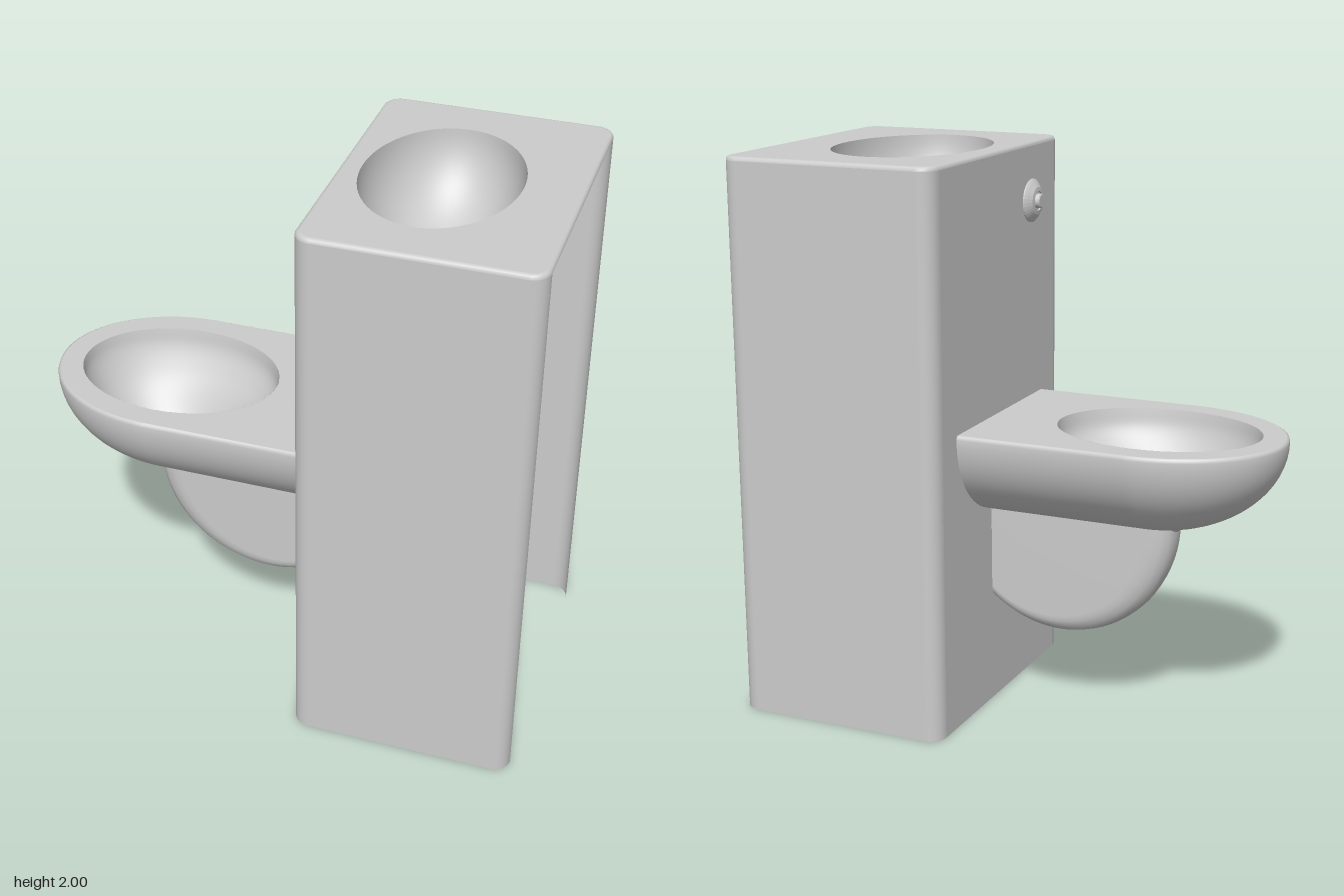
import * as THREE from 'three';
import { mergeVertices } from 'three/addons/utils/BufferGeometryUtils.js';

const material = new THREE.MeshStandardMaterial({ color: 0xcccccc, side: THREE.DoubleSide });
const range = (n, f) => Array.from({ length: n + 1 }, (_, i) => f(i / n));
const PI = Math.PI;

// Smooth skin through rows of [x, y, z] points
function loft(rows) {
  const n = rows[0].length;
  const index = [];
  for (let r = 0; r < rows.length - 1; r++) {
    for (let i = 0; i < n - 1; i++) {
      const a = r * n + i, b = a + n;
      index.push(a, b, a + 1, a + 1, b, b + 1);
    }
  }
  let geo = new THREE.BufferGeometry();
  geo.setAttribute('position', new THREE.Float32BufferAttribute(rows.flat(2), 3));
  geo.setIndex(index);
  geo = mergeVertices(geo, 1e-5);
  geo.computeVertexNormals();
  return geo;
}

const shapeOf = (pts) => new THREE.Shape(pts.map(([x, y]) => new THREE.Vector2(x, y)));
const ellipseHole = (x, rx, ry) => new THREE.Path().absellipse(x, 0, rx, ry, 0, PI * 2);

// Quarter-round corner in plan
const corner = (cx, cz, r, start) => range(8, (t) => {
  const a = start + t * PI / 2;
  return [cx + r * Math.cos(a), cz + r * Math.sin(a)];
});

export function createModel() {
  const root = new THREE.Group();
  const add = (name, geo, parent = root) => {
    const mesh = new THREE.Mesh(geo, material);
    mesh.name = name;
    parent.add(mesh);
    return mesh;
  };
  const group = (name) => {
    const g = new THREE.Group();
    g.name = name;
    root.add(g);
    return g;
  };

  // ---- Cabinet: thin sheet, open at the +x side and the bottom ----
  const x0 = 0.13, x1 = 0.925, halfZ = 0.53, rad = 0.06;
  const xa = x0 + rad, xb = x1 - rad, zc = halfZ - rad;
  const fillet = 0.015, wallTop = 2 - fillet;
  const cabinet = group('cabinet');

  const sidePlan = [...corner(xb, zc, rad, 0), ...corner(xa, zc, rad, PI / 2)];
  for (const s of [1, -1]) {
    add(s > 0 ? 'leftSidePanel' : 'rightSidePanel',
      loft([0, wallTop].map((y) => sidePlan.map(([x, z]) => [x, y, z * s]))), cabinet);
  }

  // Bowl-side wall with an opening behind the bowl and trap
  const wall = shapeOf([[-zc, 0], [zc, 0], [zc, wallTop], [-zc, wallTop]]);
  const halfHole = [
    ...range(14, (t) => [0.36 * Math.cos(t * 1.32), 1.055 - 0.325 * Math.sin(t * 1.32)]),
    [0.08, 0.46], [0.065, 0.41], [0.03, 0.39],
  ];
  const holePts = [...halfHole, ...halfHole.slice().reverse().map(([z, y]) => [-z, y])];
  wall.holes.push(shapeOf(holePts));
  add('bowlSideWall', new THREE.ShapeGeometry(wall).rotateY(-PI / 2).translate(x0, 0, 0), cabinet);

  // Rounded top edge and counter
  const plan = (inset) => {
    const r = rad - inset;
    const pts = [[xb, zc, 0], [xa, zc, 1], [xa, -zc, 2], [xb, -zc, 3]]
      .flatMap(([x, z, q]) => corner(x, z, r, q * PI / 2));
    return [...pts, pts[0]];
  };
  add('topEdge', loft(range(4, (t) => {
    const a = t * PI / 2;
    return plan(fillet * (1 - Math.cos(a))).map(([x, z]) => [x, wallTop + fillet * Math.sin(a), z]);
  })), cabinet);
  const basinX = 0.465;
  const counter = shapeOf(plan(fillet).slice(0, -1));
  counter.holes.push(ellipseHole(basinX, 0.265, 0.355));
  add('counter', new THREE.ShapeGeometry(counter, 32).rotateX(-PI / 2).translate(0, 2, 0), cabinet);

  // ---- Wash basin with drain ----
  const basin = group('washBasin');
  add('basinBowl', loft(range(18, (t) => range(64, (u) => {
    const a = t * PI / 2, b = u * PI * 2;
    return [basinX + 0.265 * Math.cos(a) * Math.cos(b), 2 - 0.315 * Math.sin(a),
      0.355 * Math.cos(a) * Math.sin(b)];
  }))), basin);
  add('drain', new THREE.CylinderGeometry(0.05, 0.05, 0.018, 32).translate(basinX, 1.683, 0), basin);
  add('drainRing', new THREE.TorusGeometry(0.042, 0.006, 8, 32).rotateX(PI / 2)
    .translate(basinX, 1.692, 0), basin);

  // ---- Push button on the bowl-side wall ----
  const buttonProfile = [[0, -0.004], [0.078, -0.004], [0.078, 0.005], [0.07, 0.012], [0.05, 0.026],
    [0.035, 0.028], [0.035, 0.022], [0.026, 0.022], [0.026, 0.038], [0.022, 0.041], [0, 0.041]];
  // doubled points keep the steps crisp
  const button = add('pushButton', new THREE.LatheGeometry(
    buttonProfile.flatMap(([r, y]) => [new THREE.Vector2(r, y), new THREE.Vector2(r, y)]), 32));
  button.geometry = button.geometry.toNonIndexed();
  button.geometry.computeVertexNormals();
  button.rotation.z = PI / 2;
  button.position.set(x0, 1.79, 0.27);

  // ---- Toilet ----
  const toilet = group('toilet');
  const bowlX = -0.47, rimY = 1.07;

  // Outer shell: round nose running straight back to the cabinet
  const shellPlan = (f) => [
    [x0, -0.365 * f],
    ...range(40, (t) => {
      const a = (t - 0.5) * PI;
      return [bowlX - 0.455 * f * Math.cos(a), 0.365 * f * Math.sin(a)];
    }),
    [x0, 0.365 * f],
  ];
  const shellLevels = [[0.975, rimY], [0.992, 1.066], ...range(18, (t) =>
    [Math.cos(t * PI / 2), 1.055 - 0.33 * Math.sin(t * PI / 2)])];
  add('bowlShell', loft(shellLevels.map(([f, y]) => shellPlan(f).map(([x, z]) => [x, y, z]))), toilet);

  const rim = shapeOf(shellPlan(0.975));
  rim.holes.push(ellipseHole(bowlX, 0.365, 0.27));
  add('rim', new THREE.ShapeGeometry(rim, 32).rotateX(-PI / 2).translate(0, rimY, 0), toilet);

  // Bowl flowing into trap and waste pipe: x, y, in-plane radius, z radius, tilt
  const rings = [
    [-0.47, 1.07, 0.365, 0.27, 0], [-0.47, 1.0, 0.35, 0.255, 0],
    [-0.465, 0.92, 0.3, 0.21, 5], [-0.455, 0.85, 0.23, 0.15, 12],
    [-0.435, 0.78, 0.15, 0.095, 20], [-0.4, 0.7, 0.09, 0.07, 28],
    [-0.34, 0.58, 0.065, 0.065, 33], [-0.27, 0.47, 0.065, 0.065, 50],
    [-0.17, 0.4, 0.065, 0.065, 88], [-0.07, 0.44, 0.065, 0.065, 120],
    [0.02, 0.53, 0.065, 0.065, 125], [0.11, 0.58, 0.065, 0.065, 92],
    [0.22, 0.545, 0.065, 0.065, 69], [0.62, 0.38, 0.065, 0.065, 68],
  ];
  const centres = new THREE.CatmullRomCurve3(rings.map((r) => new THREE.Vector3(r[0], r[1], 0)));
  const sizes = new THREE.CatmullRomCurve3(
    rings.map((r) => new THREE.Vector3(r[2], r[3], r[4] * PI / 180)), false, 'catmullrom', 0.5);
  add('bowlAndTrap', loft(range((rings.length - 1) * 5, (t) => {
    const c = centres.getPoint(t), s = sizes.getPoint(t);
    return range(48, (u) => {
      const a = s.x * Math.cos(u * PI * 2);
      return [c.x + a * Math.cos(s.z), c.y + a * Math.sin(s.z), s.y * Math.sin(u * PI * 2)];
    });
  })), toilet);
  const cap = add('pipeEnd', new THREE.CircleGeometry(0.065, 32).rotateY(PI / 2), toilet);
  cap.position.set(0.62, 0.38, 0);
  cap.rotation.z = -22 * PI / 180;

  // Trap housing: slab with a rounded underside, open at the cabinet
  const endAngle = Math.acos(0.26 / 0.42);
  const housing = [[-0.55, 0.76], ...range(28, (t) => {
    const a = PI - t * (PI - endAngle);
    return [-0.13 + 0.42 * Math.cos(a), 0.73 - 0.44 * Math.sin(a)];
  })];
  const halfSection = [[0.085, 0], [0.085, 0.86], [0.083, 0.9], [0.075, 0.945], [0.055, 0.98], [0.03, 0.995]];
  const section = [...halfSection.map(([z, f]) => [-z, f]), [0, 1], ...halfSection.slice().reverse()];
  add('trapHousing', loft(section.map(([z, f]) => housing.map(([x, y]) =>
    [x0 + (x - x0) * f, 0.76 + (y - 0.76) * f, z]))), toilet);

  return root;
}
